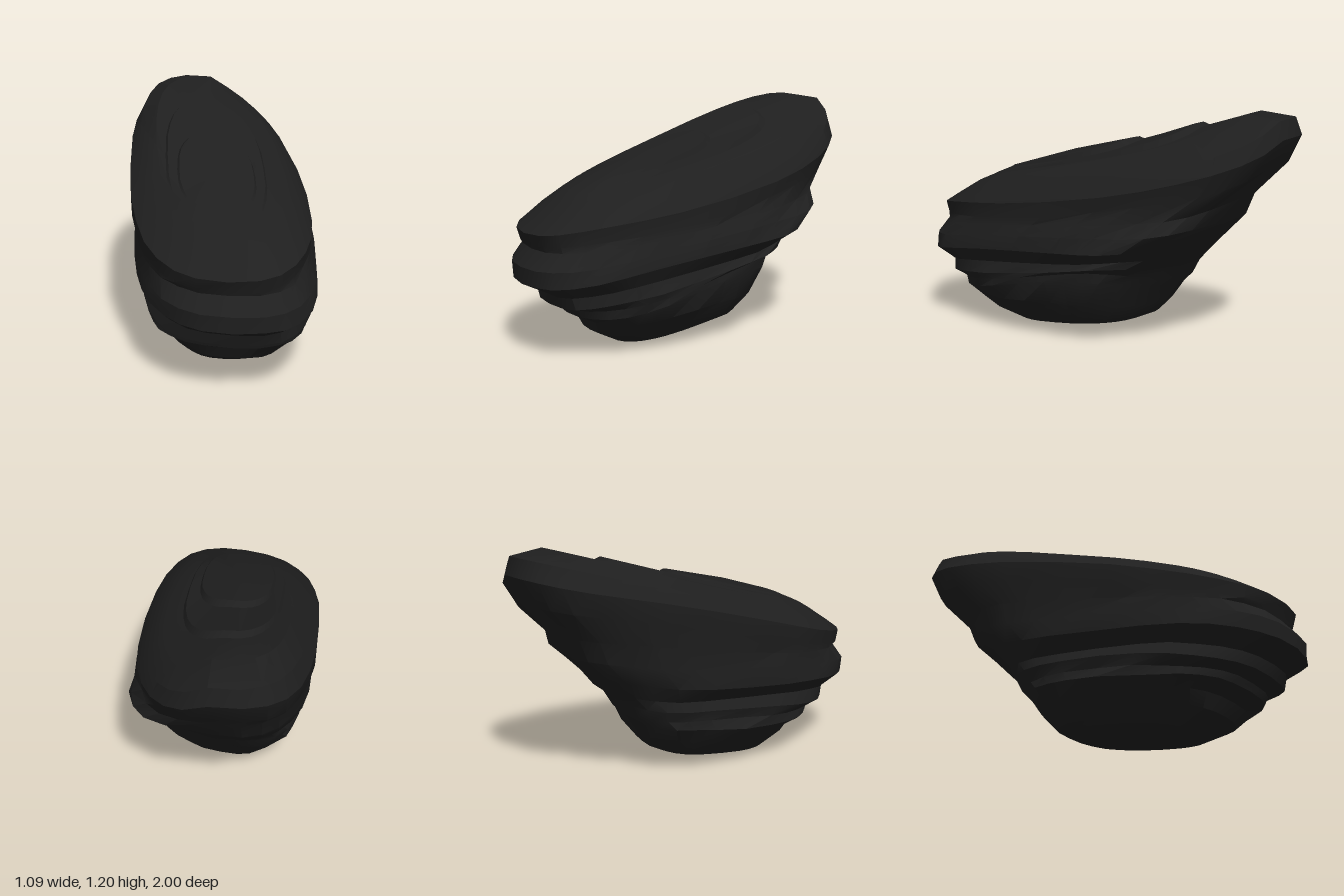
import * as THREE from 'three';
import { toCreasedNormals } from 'three/addons/utils/BufferGeometryUtils.js';

const SIDES = 28;

// Rock layers from the base up:
// [zFront, yFront, zBack, yBack, halfWidth, xShift, drop on the right, bulge at the back right]
const LAYERS = [
  [0.48, 0.00, -0.18, 0.07, 0.23, 0.01, 0.00, 0.00],
  [0.62, 0.07, -0.25, 0.10, 0.31, 0.03, 0.00, 0.00],
  [0.66, 0.14, -0.32, 0.18, 0.385, 0.045, -0.03, 0.03],
  [0.75, 0.18, -0.37, 0.28, 0.435, 0.03, -0.09, 0.12],
  [0.77, 0.22, -0.42, 0.33, 0.43, 0.035, -0.09, 0.08],
  [0.86, 0.24, -0.46, 0.40, 0.445, 0.03, -0.05, 0.17],
  [0.88, 0.30, -0.53, 0.46, 0.43, 0.035, -0.03, 0.10],
  [1.00, 0.36, -0.61, 0.55, 0.475, 0.025, 0.00, 0.22],
  [1.01, 0.44, -0.73, 0.66, 0.475, 0.02, 0.03, 0.17],
  [0.94, 0.52, -0.77, 0.77, 0.46, 0.01, 0.08, 0.06],
  [0.95, 0.54, -0.93, 0.94, 0.47, 0.00, 0.13, -0.04],
  [0.97, 0.60, -1.00, 1.08, 0.47, 0.00, 0.16, -0.05],
  [0.90, 0.65, -0.98, 1.17, 0.42, 0.00, 0.16, -0.05],
  [0.78, 0.73, -0.81, 1.195, 0.33, 0.00, 0.13, -0.03],
  [0.72, 0.765, -0.54, 1.11, 0.26, -0.02, 0.08, 0.00],
  [0.70, 0.775, -0.50, 1.125, 0.25, -0.02, 0.07, 0.00],
  [0.61, 0.815, -0.16, 1.01, 0.20, -0.02, 0.04, 0.00],
  [0.59, 0.825, -0.12, 1.025, 0.19, -0.02, 0.03, 0.00],
];
const RIM = 11;

// Small repeatable noise in 0..1
function noise(i, j) {
  const s = Math.sin(i * 127.1 + j * 311.7) * 43758.5453;
  return s - Math.floor(s);
}

// Tilted, sheared, rounded oblong outline of one layer
function makeRing([zF, yF, zB, yB, w, dx, drop, bulge], layer) {
  const ring = [];
  const rough = layer > 0 && layer < RIM ? 0.05 : 0.015;
  for (let i = 0; i < SIDES; i++) {
    const a = (i / SIDES) * Math.PI * 2;
    const c = Math.cos(a), s = Math.sin(a);
    const wear = 1 - rough * noise(i, layer) * (1 - s * s * 0.6);
    const u = Math.sign(c) * Math.abs(c) ** 0.77 * wear;
    const t = Math.sign(s) * Math.abs(s) ** 0.77 * (1 - rough * 0.3 * noise(layer, i));
    const right = Math.max(0, u), left = Math.min(0, u);
    const back = Math.max(0, -t) ** 2;
    const z = (zF + zB) / 2 + ((zF - zB) / 2) * t;
    // Back right corner steps out or in, left back corner of the upper slab is squarer
    let x = 0.17 * z - 0.015 + dx + w * u + bulge * Math.sqrt(right) * back;
    if (layer >= RIM - 1 && layer <= RIM + 2) x += 0.05 * left * back;
    const wave = layer > 0 && layer <= RIM ? 0.012 * Math.sin(a * 3 + layer) * c * c : 0;
    const tilt = drop * ((1 - t) / 2) * (1.15 * right + 0.25 * left);
    ring.push([x, (yF + yB) / 2 + ((yF - yB) / 2) * t + wave - tilt, z]);
  }
  return ring;
}

// Centre point of a layer, used to close the ends
function centre([zF, yF, zB, yB, , dx], lift) {
  const z = (zF + zB) / 2;
  return [0.17 * z - 0.015 + dx, (yF + yB) / 2 + lift, z];
}

function rockGeometry() {
  const rings = LAYERS.map(makeRing);
  const base = centre(LAYERS[0], -0.01);
  const crown = centre(LAYERS[LAYERS.length - 1], 0.015);
  const top = rings[rings.length - 1];
  const pos = [];
  const tri = (a, b, c) => pos.push(...a, ...b, ...c);
  for (let i = 0; i < SIDES; i++) {
    const n = (i + 1) % SIDES;
    tri(base, rings[0][i], rings[0][n]);
    for (let k = 0; k < rings.length - 1; k++) {
      const lo = rings[k], hi = rings[k + 1];
      tri(lo[i], hi[i], lo[n]);
      tri(hi[i], hi[n], lo[n]);
    }
    tri(crown, top[n], top[i]);
  }
  const g = new THREE.BufferGeometry();
  g.setAttribute('position', new THREE.Float32BufferAttribute(pos, 3));
  return toCreasedNormals(g, 0.5);
}

export function createModel() {
  const group = new THREE.Group();
  group.name = 'rock';
  const stone = new THREE.MeshStandardMaterial({ color: 0x1f1f1f });
  stone.name = 'dark stone';
  const body = new THREE.Mesh(rockGeometry(), stone);
  body.name = 'layeredBoulder';
  group.add(body);
  return group;
}
